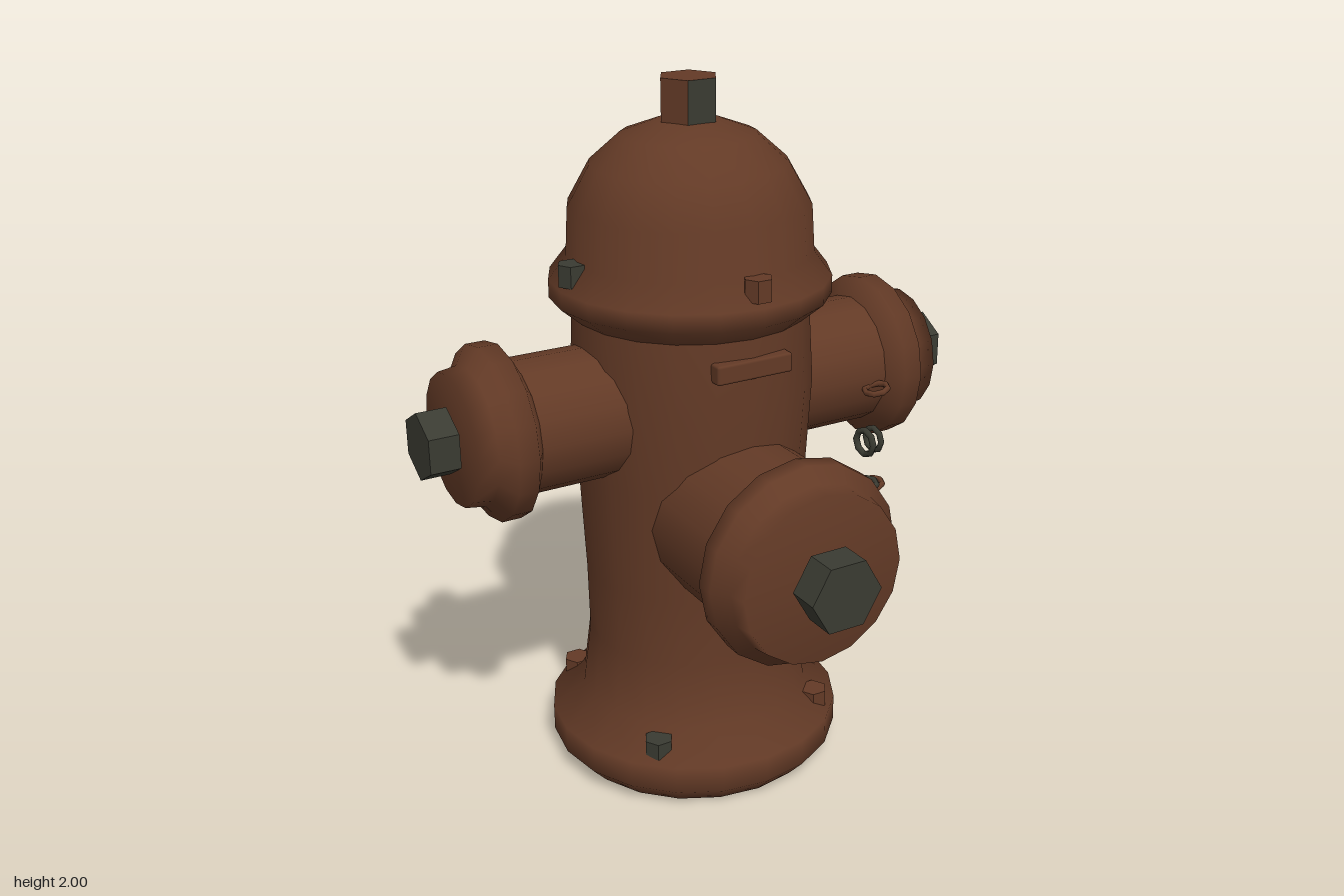
import * as THREE from 'three';
import { RoundedBoxGeometry } from 'three/addons/geometries/RoundedBoxGeometry.js';

const AXIS_Z = -0.183; // the barrel stands behind the centre

export function createModel() {
  const rust = new THREE.MeshStandardMaterial({ color: 0x633a26 });
  rust.name = 'rusty brown';
  const iron = new THREE.MeshStandardMaterial({ color: 0x3a3b32 });
  iron.name = 'dark iron';

  const model = new THREE.Group();
  model.name = 'hydrant';

  function add(parent, name, geometry, material, x = 0, y = 0, z = 0) {
    const mesh = new THREE.Mesh(geometry, material);
    mesh.name = name;
    mesh.position.set(x, y, z);
    parent.add(mesh);
    return mesh;
  }
  const lathe = (points, sides) =>
    new THREE.LatheGeometry(points.map(([r, y]) => new THREE.Vector2(r, y)), sides);

  // Six-sided nut along y with corners on the x axis and crisp faces
  function hexNut(radius, height, topRadius = radius) {
    const g = new THREE.CylinderGeometry(topRadius, radius, height, 6).rotateY(Math.PI / 6).toNonIndexed();
    g.computeVertexNormals();
    return g;
  }

  // Barrel with base flange, and bonnet with its rim
  add(model, 'barrel', lathe([
    [0, 0], [0.38, 0], [0.43, 0.055], [0.43, 0.135], [0.335, 0.21], [0.31, 0.4],
    [0.313, 0.6], [0.328, 0.93], [0.342, 1.17], [0.33, 1.38],
  ], 20), rust, 0, 0, AXIS_Z);
  add(model, 'bonnet', lathe([
    [0.325, 1.365], [0.39, 1.42], [0.39, 1.47], [0.34, 1.535], [0.332, 1.665],
    [0.27, 1.775], [0.185, 1.85], [0.09, 1.885], [0, 1.89],
  ], 20), rust, 0, 0, AXIS_Z);

  // Operating nut on top, with two bare iron faces
  const topNut = hexNut(0.083, 0.13);
  topNut.clearGroups();
  [[0, 12, 0], [12, 6, 1], [18, 12, 0], [30, 6, 1], [36, 36, 0]].forEach((g) => topNut.addGroup(...g));
  add(model, 'topNut', topNut, [rust, iron], 0, 1.935, AXIS_Z);

  // Outlet: neck, flared cap and nut, built along its own y axis
  function outlet(name, neckR, flareR, start, capStart, end, nutR, nutStart, nutEnd) {
    const group = new THREE.Group();
    group.name = name;
    add(group, 'neck', lathe([[neckR, start], [neckR, capStart + 0.02]], 16), rust);
    add(group, 'cap', lathe([
      [neckR - 0.005, capStart], [flareR, capStart + 0.035], [flareR, capStart + 0.09],
      [neckR + 0.004, capStart + 0.125], [neckR - 0.004, end], [0, end],
    ], 16), rust);
    add(group, 'capNut', hexNut(nutR, nutEnd - nutStart), iron, 0, (nutStart + nutEnd) / 2, 0);
    model.add(group);
    return group;
  }
  for (const side of [1, -1]) {
    const o = outlet(side > 0 ? 'leftOutlet' : 'rightOutlet',
      0.186, 0.241, 0.2, 0.54, 0.72, 0.095, 0.728, 0.812);
    o.position.set(0, 1.12, AXIS_Z);
    o.rotation.z = -side * Math.PI / 2;
  }
  const front = outlet('frontOutlet', 0.243, 0.287, 0, 0.325, 0.505, 0.105, 0.52, 0.61);
  front.position.set(0, 0.825, 0);
  front.rotation.x = Math.PI / 2;

  // Bolts around the bonnet rim and the base flange
  for (let i = 0; i < 4; i++) {
    const a = i * Math.PI / 2;
    add(model, 'rimBolt', hexNut(0.04, 0.06), i < 2 ? rust : iron,
      0.355 * Math.sin(a), 1.515, AXIS_Z + 0.355 * Math.cos(a));
    const b = a + Math.PI / 4;
    add(model, 'baseBolt', hexNut(0.042, 0.05), i === 3 ? iron : rust,
      0.372 * Math.sin(b), 0.172, AXIS_Z + 0.372 * Math.cos(b));
  }

  // Blank plate on the front
  add(model, 'plate', new RoundedBoxGeometry(0.23, 0.055, 0.06, 1, 0.008), rust, 0, 1.292, 0.136);

  // Chain hanging between the front and left caps
  const chain = new THREE.Group();
  chain.name = 'chain';
  model.add(chain);
  const heights = [1.097, 0.955, 0.83, 0.722, 0.645, 0.605, 0.645, 0.723, 0.83, 0.955, 1.095];
  const upright = [0, 2, 4, 5, 7, 9];
  const ironLinks = [0, 1, 2, 5, 9];
  const link = new THREE.TorusGeometry(0.034, 0.009, 6, 8);
  heights.forEach((y, i) => {
    const mesh = add(chain, 'link', link, ironLinks.includes(i) ? iron : rust,
      0.235 + 0.026 * i, y, 0.335 - 0.031 * i);
    if (upright.includes(i)) mesh.rotation.y = Math.PI / 2 + 0.1;
    else mesh.rotation.set(Math.PI / 2, 0.2, 0);
  });

  return model;
}
